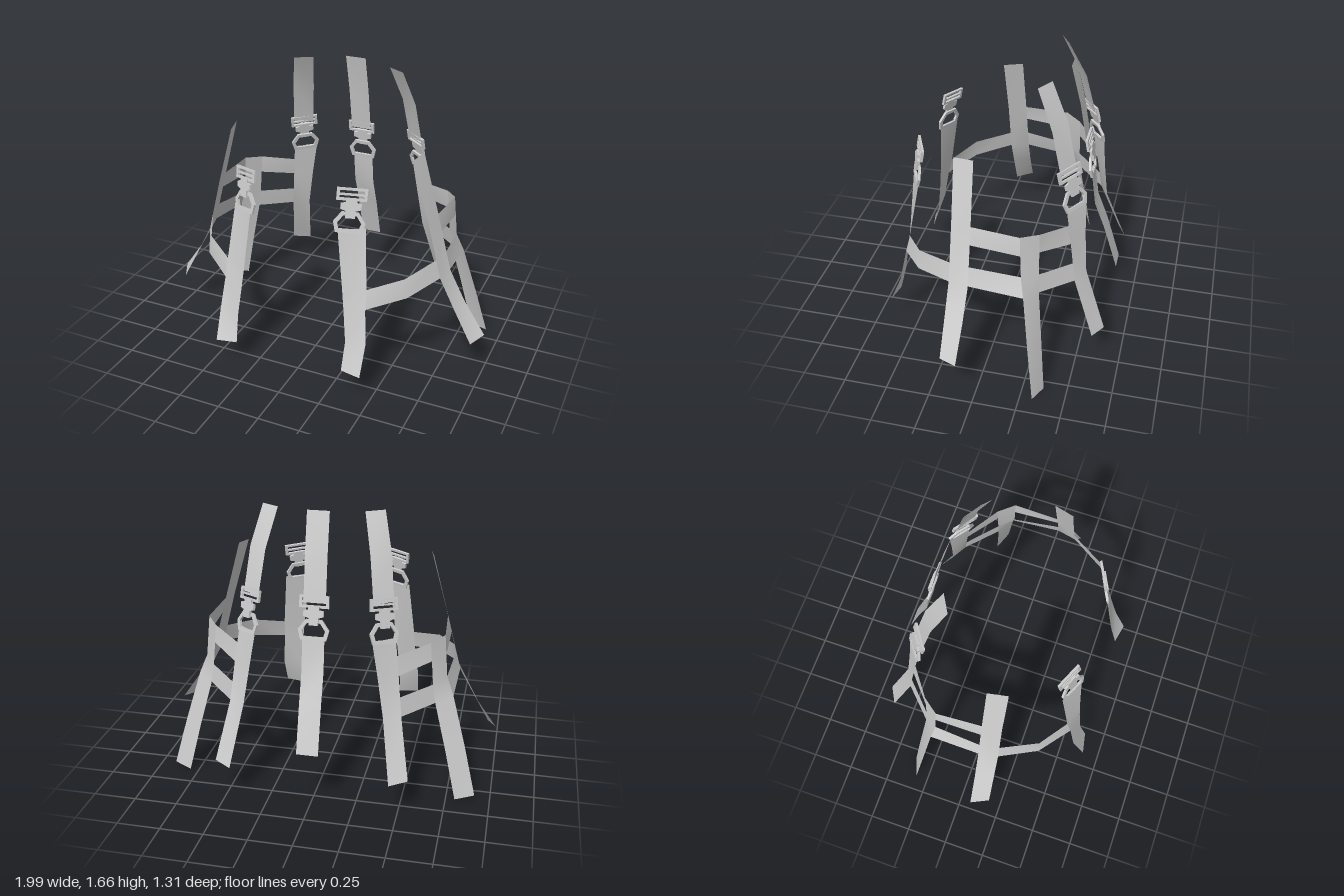
import * as THREE from 'three';

const strapMat = new THREE.MeshStandardMaterial({ color: 0xcccccc, side: THREE.DoubleSide });
const metalMat = new THREE.MeshStandardMaterial({ color: 0xcccccc });

// Thin ribbon through rows of [edge A, edge B] points; s = -1 mirrors it to the right
function ribbon(name, rows, s = 1) {
  const pos = [], index = [];
  rows.forEach(([a, b], i) => {
    pos.push(a[0] * s, a[1], a[2], b[0] * s, b[1], b[2]);
    if (i === 0) return;
    const k = 2 * i;
    if (s > 0) index.push(k - 2, k - 1, k, k - 1, k + 1, k);
    else index.push(k - 2, k, k - 1, k - 1, k, k + 1);
  });
  const geo = new THREE.BufferGeometry();
  geo.setAttribute('position', new THREE.Float32BufferAttribute(pos, 3));
  geo.setIndex(index);
  geo.computeVertexNormals();
  const mesh = new THREE.Mesh(geo, strapMat);
  mesh.name = name;
  return mesh;
}

// Point at height y on one edge (0 or 1) of a strap listed from top to bottom
function edge(rows, side, y) {
  let i = 0;
  while (i < rows.length - 2 && rows[i + 1][side][1] > y) i++;
  const a = rows[i][side], b = rows[i + 1][side];
  const t = (y - a[1]) / (b[1] - a[1]);
  return a.map((v, k) => v + (b[k] - v) * t);
}

const outline = (pts) => pts.map(([x, y]) => new THREE.Vector2(x, y));

function plate(name, pts, holes, z) {
  const shape = new THREE.Shape(outline(pts));
  holes.forEach((h) => shape.holes.push(new THREE.Path(outline(h))));
  const geo = new THREE.ExtrudeGeometry(shape, { depth: 0.014, bevelEnabled: false });
  geo.translate(0, 0, z - 0.007);
  const mesh = new THREE.Mesh(geo, metalMat);
  mesh.name = name;
  return mesh;
}

const rect = (w, y0, y1) => [[-w, y0], [w, y0], [w, y1], [-w, y1]];

// Six-sided ring, hook plate and slotted frame, set along base -> top
function buckle(base, top, width) {
  const g = new THREE.Group();
  g.name = 'buckle';
  const sym = (half) => [...half, ...half.map(([x, y]) => [-x, y]).reverse()];
  g.add(plate('ring', sym([[0.072, 0], [0.087, 0.058], [0.046, 0.115]]),
    [sym([[0.055, 0.02], [0.065, 0.054], [0.036, 0.096]])], 0));
  g.add(plate('hook', sym([[0.026, 0.085], [0.026, 0.125], [0.056, 0.135], [0.056, 0.165],
    [0.03, 0.17], [0.03, 0.19]]), [], 0.012));
  g.add(plate('frame', rect(0.082, 0.18, 0.248), [rect(0.066, 0.193, 0.208), rect(0.066, 0.218, 0.236)], 0.004));
  const b = new THREE.Vector3(...base);
  const v = new THREE.Vector3(...top).sub(b).normalize();
  const u = new THREE.Vector3(...width);
  u.addScaledVector(v, -u.dot(v)).normalize();
  g.applyMatrix4(new THREE.Matrix4().makeBasis(u, v, u.clone().cross(v)).setPosition(b));
  return g;
}

// Straps as [inner or front edge, outer or back edge], top to bottom
const frontStrap = [
  [[0.262, 1.0, 0.52], [0.396, 1.0, 0.45]],
  [[0.305, 0.63, 0.55], [0.43, 0.66, 0.51]],
  [[0.318, 0.52, 0.562], [0.437, 0.54, 0.54]],
  [[0.338, 0.34, 0.585], [0.457, 0.35, 0.578]],
  [[0.332, 0.175, 0.628], [0.453, 0.175, 0.652]],
];
const sideStrap = [
  [[0.555, 1.315, 0.188], [0.58, 1.325, 0.073]],
  [[0.66, 0.95, 0.183], [0.682, 0.95, 0.07]],
  [[0.742, 0.63, 0.185], [0.766, 0.63, 0.07]],
  [[0.835, 0.45, 0.188], [0.865, 0.45, 0.078]],
  [[0.945, 0.245, 0.192], [0.997, 0.26, 0.088]],
];
const hipStrap = [
  [[0.69, 0.955, -0.2], [0.62, 0.94, -0.292]],
  [[0.712, 0.71, -0.212], [0.642, 0.69, -0.297]],
  [[0.755, 0.6, -0.235], [0.662, 0.57, -0.303]],
  [[0.84, 0.3, -0.28], [0.732, 0.3, -0.335]],
  [[0.912, 0.018, -0.323], [0.802, 0.005, -0.368]],
];
const rearStrap = [
  [[0.325, 1.0, -0.49], [0.44, 1.0, -0.402]],
  [[0.36, 0.8, -0.5], [0.465, 0.8, -0.435]],
  [[0.397, 0.57, -0.52], [0.492, 0.56, -0.47]],
  [[0.455, 0.218, -0.648], [0.555, 0.228, -0.592]],
];
const rearShoulder = [
  [[0.24, 1.655, -0.27], [0.34, 1.655, -0.212]],
  [[0.288, 1.44, -0.37], [0.392, 1.44, -0.302]],
  [[0.318, 1.19, -0.428], [0.42, 1.19, -0.36]],
];

export function createModel() {
  const model = new THREE.Group();
  model.name = 'strapHarness';

  // Belts hang between the strap edges
  const belts = {
    frontBelt: [
      [edge(frontStrap, 1, 0.66), edge(frontStrap, 1, 0.55)],
      [[0.605, 0.705, 0.392], [0.625, 0.592, 0.397]],
      [edge(sideStrap, 0, 0.74), edge(sideStrap, 0, 0.63)],
    ],
    lowerSideBelt: [
      [edge(sideStrap, 1, 0.745), edge(sideStrap, 1, 0.635)],
      [edge(hipStrap, 0, 0.71), edge(hipStrap, 0, 0.6)],
    ],
    upperSideBelt: [
      [edge(sideStrap, 1, 0.97), edge(sideStrap, 1, 0.868)],
      [edge(hipStrap, 0, 0.955), edge(hipStrap, 0, 0.84)],
    ],
    upperRearBelt: [
      [edge(hipStrap, 1, 0.94), edge(hipStrap, 1, 0.83)],
      [edge(rearStrap, 1, 0.9), edge(rearStrap, 1, 0.79)],
    ],
    lowerRearBelt: [
      [edge(hipStrap, 1, 0.69), edge(hipStrap, 1, 0.58)],
      [edge(rearStrap, 1, 0.67), edge(rearStrap, 1, 0.56)],
    ],
  };

  for (const s of [1, -1]) {
    const half = new THREE.Group();
    half.name = s > 0 ? 'leftHalf' : 'rightHalf';
    const straps = { frontStrap, sideStrap, hipStrap, rearStrap, rearShoulder, ...belts };
    for (const [name, rows] of Object.entries(straps)) half.add(ribbon(name, rows, s));
    half.add(buckle([0.312 * s, 0.978, 0.492], [0.315 * s, 1.22, 0.443], [0.9, 0, -0.43 * s]));
    half.add(buckle([0.386 * s, 0.978, -0.448], [0.365 * s, 1.22, -0.388], [-0.8, 0, -0.6 * s]));
    model.add(half);
  }

  // Centre back straps, given as [y, z]
  const centre = (name, pts) =>
    model.add(ribbon(name, pts.map(([y, z]) => [[0.062, y, z], [-0.062, y, z]])));
  centre('centreShoulder', [[1.665, -0.338], [1.44, -0.395], [1.19, -0.44]]);
  centre('centreStrap', [[1.0, -0.478], [0.8, -0.505], [0.63, -0.57], [0.36, -0.654]]);
  model.add(buckle([0, 0.978, -0.48], [0, 1.22, -0.437], [-1, 0, 0]));

  return model;
}
